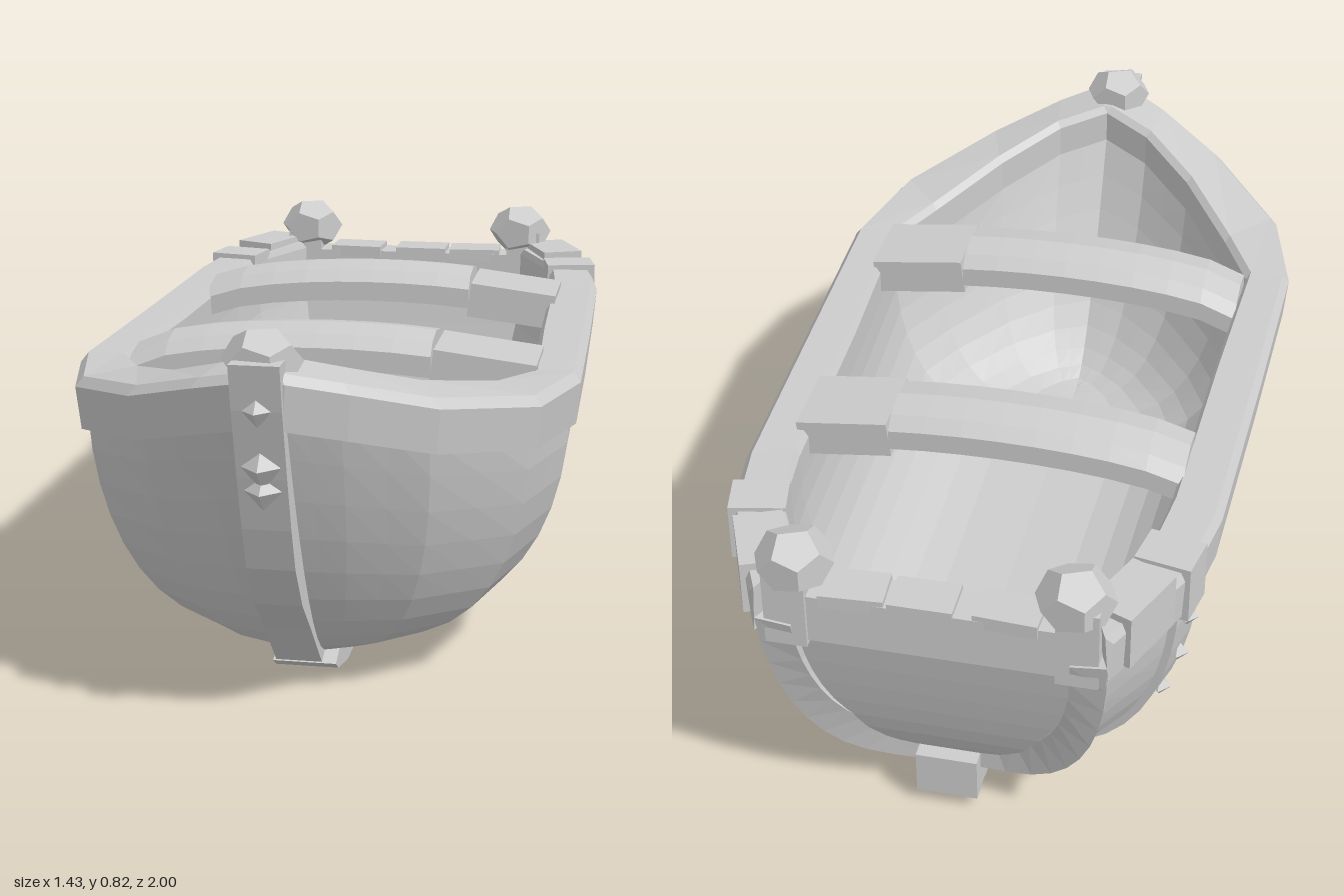
import * as THREE from 'three';

const gray = new THREE.MeshStandardMaterial({ color: 0xcccccc, flatShading: true, side: THREE.DoubleSide });
gray.name = 'weathered grey';

// Stations, stern to bow: rim half width, rim z, keel z, rim height, inner half width, inner z, inner keel z, keel height
const STATIONS = [
  [0.36, -0.93, -0.77, 0.62, 0.285, -0.83, -0.74, 0.1],
  [0.475, -0.69, -0.66, 0.615, 0.375, -0.65, -0.62, 0.075],
  [0.505, -0.5, -0.48, 0.61, 0.395, -0.48, -0.44, 0.065],
  [0.52, 0, 0, 0.61, 0.41, 0, 0, 0.06],
  [0.53, 0.43, 0.4, 0.615, 0.43, 0.41, 0.34, 0.06],
  [0.47, 0.67, 0.55, 0.625, 0.36, 0.55, 0.43, 0.06],
  [0.3, 0.885, 0.61, 0.67, 0.235, 0.74, 0.5, 0.06],
  [0.15, 0.995, 0.63, 0.72, 0.11, 0.86, 0.54, 0.06],
  [0.04, 1.055, 0.64, 0.75, 0, 0.91, 0.56, 0.06],
];
const LAST = STATIONS.length - 1;
const HALF = Math.PI / 2;

function station(s) {
  const i = Math.min(Math.floor(s), LAST - 1);
  return STATIONS[i].map((v, k) => v + (STATIONS[i + 1][k] - v) * (s - i));
}

// Full, flat-bottomed section: a runs from -90 degrees (right rim) over the keel to +90 (left rim)
function section(a, half, low, high, zLow, zHigh) {
  const f = Math.max(0, 1 - Math.cos(a));
  return new THREE.Vector3(
    Math.sign(a) * half * Math.abs(Math.sin(a)) ** 0.58,
    low + (high - low) * f,
    zLow + (zHigh - zLow) * f ** 0.6);
}

// Point on the outer skin, lifted outward by off
function skin(s, a, off = 0) {
  const [u, w, wb, y, , , , yb] = station(s);
  const p = section(a, u - 0.022 + off, yb, y - 0.08, wb, w * 0.985);
  p.y -= off * Math.cos(a);
  return p;
}

// Point on the inner skin
function lining(s, a) {
  const [, , , y, u, w, wb, yb] = station(s);
  return section(a, u, yb + 0.07, y - 0.09, wb, w);
}

// Surface through rows of points, optionally closed around, optionally capped
function loft(rows, { around = false, caps = false } = {}) {
  const n = rows[0].length, m = rows.length, index = [];
  for (let i = 0; i < m - 1; i++) {
    for (let j = 0; j < (around ? n : n - 1); j++) {
      const a = i * n + j, b = i * n + (j + 1) % n, c = a + n, d = b + n;
      index.push(a, b, d, a, d, c);
    }
  }
  if (caps) for (let j = 1; j < n - 1; j++) {
    const e = (m - 1) * n;
    index.push(0, j + 1, j, e, e + j, e + j + 1);
  }
  const g = new THREE.BufferGeometry().setFromPoints(rows.flat());
  g.setIndex(index);
  const flat = g.toNonIndexed();
  flat.computeVertexNormals();
  return flat;
}

// Solid of a given width from a side profile drawn as (z, y)
function sideProfile(points, width) {
  const shape = new THREE.Shape(points.map(p => new THREE.Vector2(...p)));
  return new THREE.ExtrudeGeometry(shape, { depth: width, bevelEnabled: false })
    .rotateY(-HALF).translate(width / 2, 0, 0);
}

const steps = (n, a, b) => Array.from({ length: n + 1 }, (_, i) => a + (b - a) * i / n);

export function createModel() {
  const boat = new THREE.Group();
  boat.name = 'rowingBoat';
  const V = (x, y, z) => new THREE.Vector3(x, y, z);
  const add = (name, geometry, x = 0, y = 0, z = 0, ry = 0) => {
    const mesh = new THREE.Mesh(geometry, gray);
    mesh.name = name;
    mesh.position.set(x, y, z);
    mesh.rotation.y = ry;
    boat.add(mesh);
    return mesh;
  };
  const box = (name, w, h, d, x, y, z, ry) => add(name, new THREE.BoxGeometry(w, h, d), x, y, z, ry);
  const knob = (name, r, h, x, y, z) => add(name, new THREE.DodecahedronGeometry(1), x, y, z, 0.4).scale.set(r, h, r);

  // Hull skin, lining and the transom closing both
  const arc = steps(20, -HALF, HALF), rowsAlong = steps(LAST * 2, 0, LAST);
  add('hull', loft(rowsAlong.map(s => arc.map(a => skin(s, a)))));
  add('lining', loft(rowsAlong.map(s => arc.map(a => lining(s, a)))));
  const halfArc = steps(10, 0, HALF);
  add('transom', loft(halfArc.map(a => [skin(0, -a), skin(0, a)])));
  add('transomLining', loft(halfArc.map(a => [lining(0, -a), lining(0, a)])));

  // Gunwale: one beam running around both sides and meeting at the bow
  const rimRing = side => ([u, w, , y, ui, wi]) => [
    V(side * (u - 0.008), y - 0.11, w - 0.008), V(side * u, y - 0.02, w), V(side * (u - 0.015), y, w - 0.01),
    V(side * (ui + 0.01), y, wi + 0.01), V(side * ui, y - 0.015, wi), V(side * ui, y - 0.11, wi)];
  add('gunwale', loft([...STATIONS.map(rimRing(1)), ...STATIONS.slice().reverse().map(rimRing(-1))],
    { around: true, caps: true }));
  box('transomRail', 0.62, 0.11, 0.085, 0, 0.545, -0.88);
  [-0.15, 0.02, 0.16].forEach((x, i) => box('transomCap', 0.13, 0.03, 0.09, x, 0.597, -0.88, 0.06 * (i - 1)));

  // Frame around the transom edge
  const frame = arc.map(a => {
    const p = skin(0, a), at = (k, dz) => V(p.x * k, 0.5 + (p.y - 0.5) * k, p.z + dz);
    return [at(1.035, -0.022), at(1.035, 0.05), at(0.82, 0.05), at(0.82, -0.022)];
  });
  add('transomFrame', loft(frame, { around: true, caps: true }));

  // Stem and wider keel
  add('stem', sideProfile([[1.08, 0.77], [1.06, 0.68], [1.02, 0.54], [0.985, 0.43], [0.95, 0.34], [0.885, 0.245],
    [0.8, 0.165], [0.68, 0.045], [0.56, 0.006], [0.5, 0.09], [0.6, 0.1], [0.76, 0.22], [0.86, 0.36], [0.93, 0.52],
    [0.98, 0.65], [0.98, 0.77]], 0.095), -0.012);
  add('keel', sideProfile([[0.69, 0.05], [0.66, 0.03], [0.55, 0.005], [0, 0], [-0.76, 0.025], [-0.76, 0.09],
    [0, 0.07], [0.64, 0.07]], 0.13));
  box('keelEnd', 0.13, 0.1, 0.14, 0, 0.08, -0.762);
  knob('bowKnob', 0.078, 0.06, -0.015, 0.76, 0.99);

  // Studs on the stem
  for (const [y, z, r] of [[0.68, 1.055, 0.032], [0.565, 1.02, 0.045], [0.515, 1.01, 0.038]])
    add('stemStud', new THREE.OctahedronGeometry(r), -0.012, y, z);

  // Fittings mirrored on both sides of the stern
  for (const side of [1, -1]) {
    box('sternPost', 0.085, 0.18, 0.095, side * 0.29, 0.57, -0.885);
    knob('sternKnob', 0.08, 0.066, side * 0.278, 0.66, -0.882);
    box('cornerBlock', 0.1, 0.12, 0.16, side * 0.372, 0.575, -0.805, side * 0.4);
    box('strapCap', 0.118, 0.128, 0.095, side * 0.424, 0.561, -0.66, side * 0.2);
    const strap = steps(8, 0.4, HALF).map(a => [[0.85, 0], [0.85, 0.016], [1.33, 0.016], [1.33, 0]]
      .map(([s, off]) => skin(s, side * a, off)));
    add('strap', loft(strap, { around: true, caps: true }));
    for (const a of [0.95, 1.2, 1.42]) {
      const p = skin(1.1, side * a, 0.01);
      add('strapStud', new THREE.OctahedronGeometry(0.025), p.x, p.y, p.z);
    }
  }

  // Thwarts: arched planks with a separate block at the left end
  for (const [z, half] of [[0.345, 0.425], [-0.32, 0.41]]) {
    const plank = steps(8, -half, 0.22).map(x => {
      const top = 0.61 + 0.072 * Math.sqrt(Math.max(0, 1 - (x / 0.43) ** 2)), d = 0.092;
      return [[-d, -0.08], [-d, -0.035], [-d * 0.7, -0.01], [0, 0.002], [d * 0.7, -0.01], [d, -0.035], [d, -0.08]]
        .map(([dz, dy]) => V(x, top + dy, z + dz));
    });
    add('thwart', loft(plank, { around: true, caps: true }));
    box('thwartBlock', half - 0.21, 0.08, 0.18, (half + 0.23) / 2, 0.6, z).rotation.z = -0.12;
  }

  // Turn the boat to its heading
  boat.rotation.y = -0.424;
  boat.position.x = -0.01;
  const model = new THREE.Group();
  model.name = 'boat';
  model.add(boat);
  return model;
}
